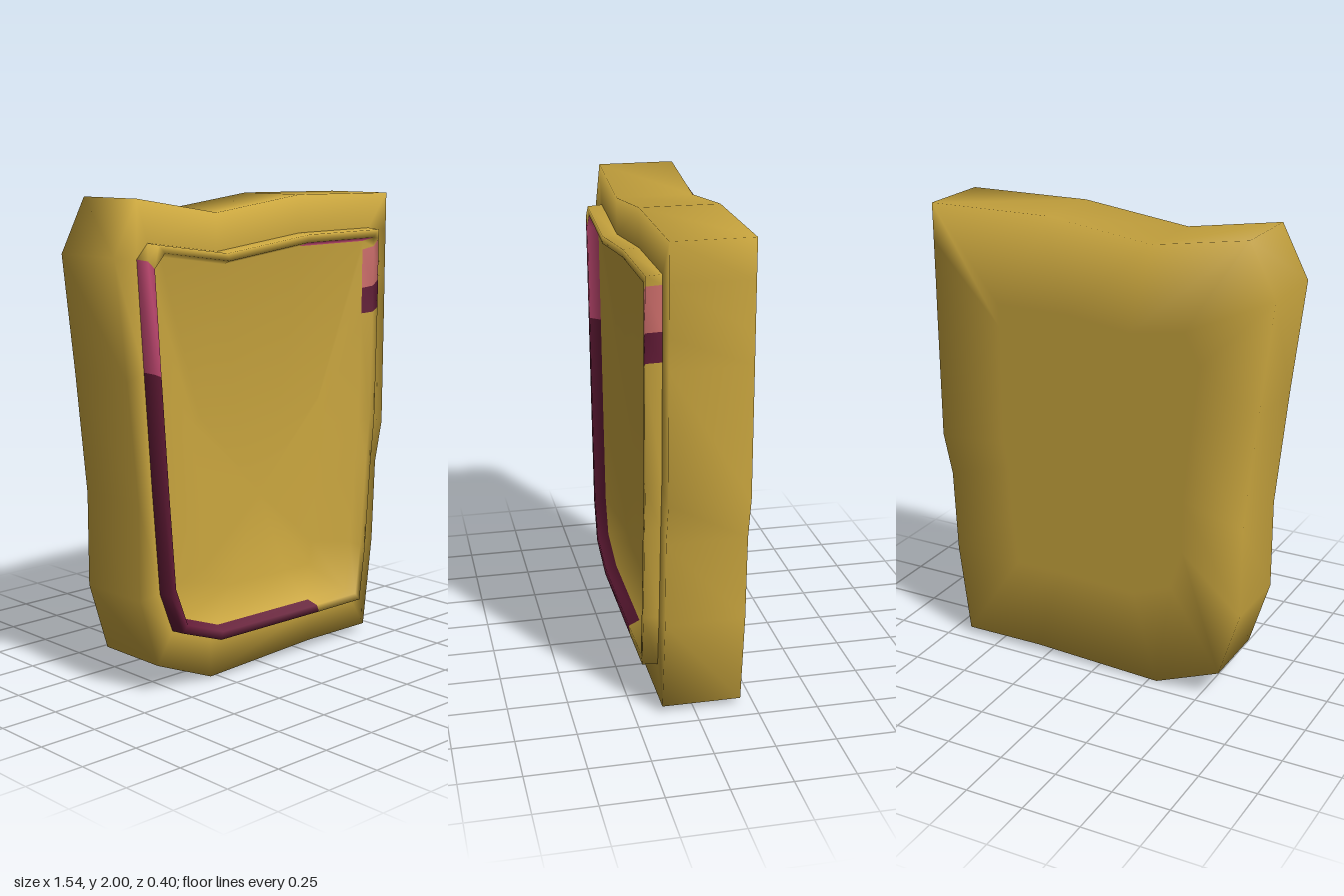
import * as THREE from 'three';

// Matched corners, clockwise from the front: outer x, y, then lip x, y
const OUTLINE = [
  [-0.66, 2.0, -0.61, 1.83], [-0.25, 1.935, -0.25, 1.78], [0.22, 1.995, 0.22, 1.835],
  [0.77, 1.99, 0.655, 1.84], [0.769, 1.83, 0.655, 1.8], [0.768, 1.63, 0.655, 1.62],
  [0.768, 1.5, 0.655, 1.5], [0.765, 0.96, 0.645, 1.0], [0.725, 0.78, 0.625, 0.8],
  [0.71, 0.42, 0.595, 0.4], [0.66, 0.025, 0.565, 0.17], [0.3, 0.028, 0.3, 0.17],
  [-0.29, 0.003, -0.29, 0.175], [-0.58, 0.12, -0.5, 0.25], [-0.67, 0.41, -0.565, 0.42],
  [-0.67, 0.8, -0.6, 0.85], [-0.72, 1.3, -0.635, 1.33], [-0.775, 1.78, -0.665, 1.77],
];

const ring = (rule) => OUTLINE.map(([ox, oy, lx, ly]) => rule(ox, oy, lx, ly));

// Smooth skin over successive rings; materialOf picks a material per segment and band
function loft(name, rings, materials, materialOf = () => 0) {
  const n = OUTLINE.length;
  const geometry = new THREE.BufferGeometry();
  geometry.setAttribute('position', new THREE.Float32BufferAttribute(rings.flat(2), 3));
  const index = [];
  for (let j = 0; j < n; j++) {
    const k = (j + 1) % n;
    for (let i = 0; i < rings.length - 1; i++) {
      const a = i * n + j, b = i * n + k, c = b + n, d = a + n;
      geometry.addGroup(index.length, 6, materialOf(j, i));
      index.push(a, d, b, b, d, c);
    }
  }
  geometry.setIndex(index);
  geometry.computeVertexNormals();
  const mesh = new THREE.Mesh(geometry, materials);
  mesh.name = name;
  return mesh;
}

// Flat painted strip between two matching edges
function strip(name, edgeA, edgeB, material) {
  const geometry = new THREE.BufferGeometry();
  geometry.setAttribute('position', new THREE.Float32BufferAttribute([...edgeA, ...edgeB].flat(), 3));
  const n = edgeA.length, index = [];
  for (let i = 0; i < n - 1; i++) index.push(i, i + 1, n + i, i + 1, n + i + 1, n + i);
  geometry.setIndex(index);
  geometry.computeVertexNormals();
  const mesh = new THREE.Mesh(geometry, material);
  mesh.name = name;
  return mesh;
}

export function createModel() {
  const paint = (name, color) => {
    const m = new THREE.MeshStandardMaterial({ color });
    m.name = name;
    return m;
  };
  const gold = paint('gold', 0xcba73f);
  const pink = paint('pink', 0xcc4d78);
  const maroon = paint('maroon', 0x651c38);
  const salmon = paint('salmon', 0xd3716e);
  const group = new THREE.Group();

  // Slab: flat back, straight flanks and the front border
  group.add(loft('body', [
    ring(() => [0, 1, -0.195]),
    ring((x, y) => [x * 0.6, 1 + (y - 1) * 0.6, -0.195]),
    ring((x, y) => [x, y, -0.195]),
    ring((x, y) => [x, y, 0.133]),
    ring((ox, oy, x, y) => [x, y, 0.133]),
  ], [gold]));

  // Raised lip with coloured stretches, running into a shallow hollow
  const rimColour = (j, band) => {
    if (band > 2) return 0;
    if (j === 16 || (band === 2 && (j === 2 || j === 17))) return 1;
    if (j === 6 - 1 || (j >= 11 && j <= 15)) return 2;
    return j === 4 ? 3 : 0;
  };
  group.add(loft('rim', [
    ring((ox, oy, x, y) => [x, y, 0.133]),
    ring((ox, oy, x, y) => [x * 0.995, 1 + (y - 1) * 0.995, 0.197]),
    ring((ox, oy, x, y) => [x * 0.945, 1 + (y - 1) * 0.955, 0.197]),
    ring((ox, oy, x, y) => [x * 0.915, 1 + (y - 1) * 0.935, 0.15]),
    ring((ox, oy, x, y) => [0.02 + x * 0.55, 0.37 + (y - 0.18) * 0.45, 0.1]),
    ring(() => [0.02, 0.74, 0.1]),
  ], [gold, pink, maroon, salmon], rimColour));

  // Painted band along the top edge of the back
  const zb = -0.199;
  group.add(strip('backBand',
    [[0.14, 1.983, zb], [-0.25, 1.933, zb], [-0.66, 1.985, zb]],
    [[0.14, 1.88, zb], [-0.25, 1.88, zb], [-0.72, 1.88, zb]], pink));

  // Painted underside with a darker stripe whose ends turn towards the back
  const under = (x, z) => [x, x > 0.3 ? 0.021 : 0.021 - (0.3 - x) * 0.04, z];
  const underEdge = (z, from = 0.655, to = -0.285) =>
    [under(from, z), under((from + to) / 2 + 0.115, z), under(to, z)];
  group.add(strip('undersidePanel', underEdge(0.132), underEdge(-0.03), salmon));
  group.add(strip('undersideStripe', underEdge(-0.03, 0.62, -0.25), underEdge(-0.07, 0.62, -0.25), maroon));
  for (const [from, to] of [[0.62, 0.55], [-0.18, -0.25]]) {
    group.add(strip('undersideStripeEnd',
      [under(from, -0.07), under(to, -0.07)], [under(from, -0.17), under(to, -0.17)], maroon));
  }
  return group;
}
